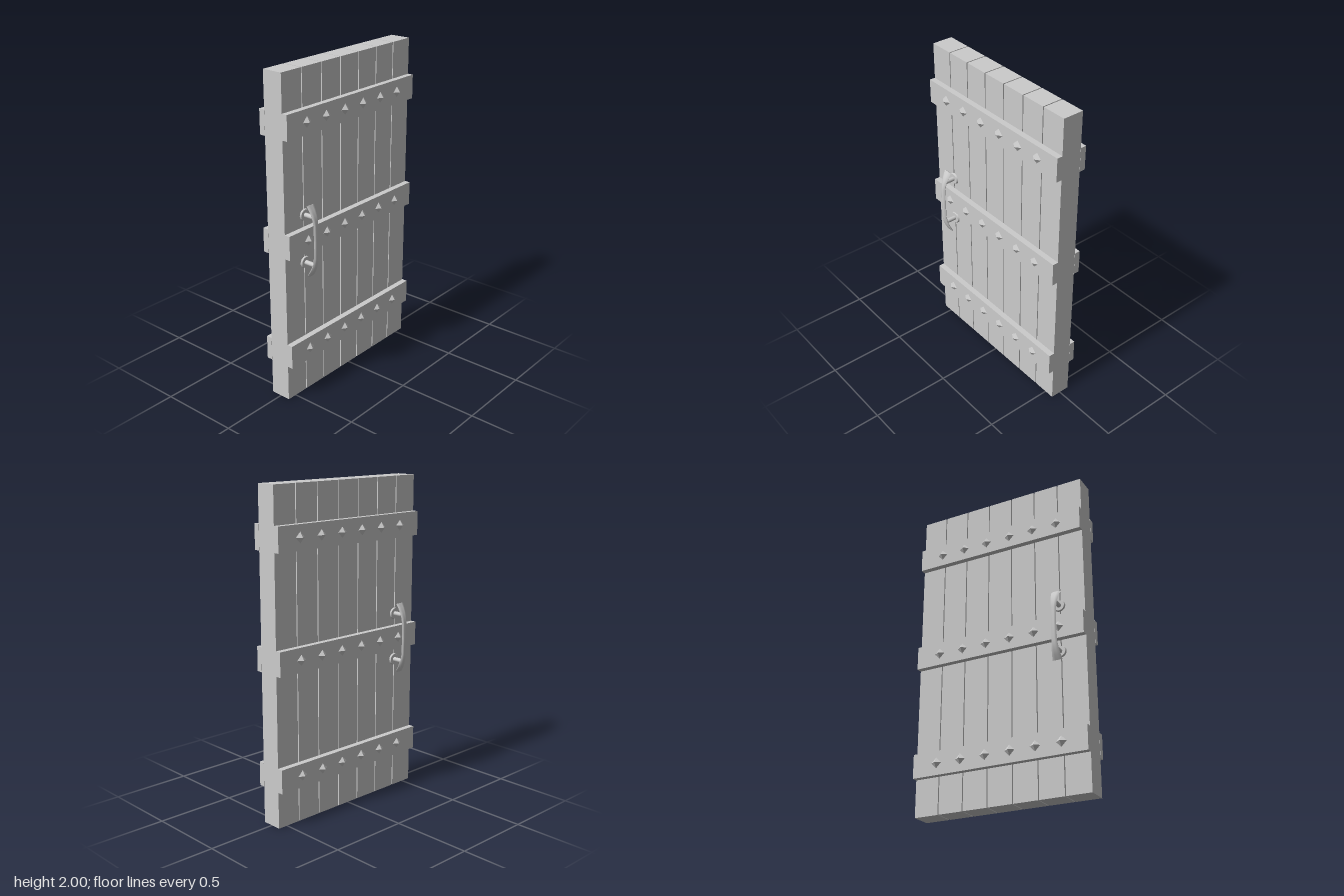
import * as THREE from 'three';
import { toCreasedNormals } from 'three/addons/utils/BufferGeometryUtils.js';

const material = new THREE.MeshStandardMaterial({ color: 0xcccccc });
const flatMaterial = new THREE.MeshStandardMaterial({ color: 0xcccccc, flatShading: true });

function add(parent, name, geometry, x, y, z, mat = material) {
  const mesh = new THREE.Mesh(geometry, mat);
  mesh.name = name;
  mesh.position.set(x, y, z);
  parent.add(mesh);
  return mesh;
}

// Bowed grip: oval sections swept down the handle, wide at the tips, slim in the middle
function gripGeometry() {
  // height above the middle, distance from door centre, half width, half thickness
  const half = [
    [0.218, 0.113, 0.031, 0.006],
    [0.19, 0.128, 0.027, 0.008],
    [0.16, 0.141, 0.023, 0.009],
    [0.13, 0.149, 0.02, 0.009],
    [0.1, 0.153, 0.018, 0.009],
    [0, 0.154, 0.016, 0.009],
  ];
  const lower = half.slice(0, -1).reverse().map(([y, z, w, t]) => [-y, z, w, t]);
  const rows = [...half, ...lower];
  const sides = 10, positions = [], index = [];
  rows.forEach(([y, z, w, t], i) => {
    const a = rows[Math.max(i - 1, 0)], b = rows[Math.min(i + 1, rows.length - 1)];
    const dir = new THREE.Vector2(b[0] - a[0], b[1] - a[1]).normalize();
    for (let j = 0; j < sides; j++) {
      const angle = (j / sides) * Math.PI * 2, s = Math.sin(angle) * t;
      positions.push(Math.cos(angle) * w, y + dir.y * s, z - dir.x * s);
    }
  });
  for (let i = 0; i < rows.length - 1; i++) {
    for (let j = 0; j < sides; j++) {
      const a = i * sides + j, b = i * sides + (j + 1) % sides;
      index.push(a, b, a + sides, b, b + sides, a + sides);
    }
  }
  // End caps
  const last = (rows.length - 1) * sides;
  for (let j = 1; j < sides - 1; j++) {
    index.push(0, j + 1, j, last, last + j, last + j + 1);
  }
  const geometry = new THREE.BufferGeometry();
  geometry.setAttribute('position', new THREE.Float32BufferAttribute(positions, 3));
  geometry.setIndex(index);
  return toCreasedNormals(geometry, 0.8);
}

export function createModel() {
  const door = new THREE.Group();
  door.name = 'plankDoor';

  // Seven upright planks with narrow gaps
  const pitch = 0.1615;
  const plank = new THREE.BoxGeometry(0.155, 2, 0.13);
  for (let i = -3; i <= 3; i++) add(door, 'plank', plank, i * pitch, 1, 0);

  const batten = new THREE.BoxGeometry(1.126, 0.148, 0.037);
  const stud = new THREE.ConeGeometry(0.033, 0.022, 4).rotateX(Math.PI / 2);
  const grip = gripGeometry();
  const post = new THREE.CylinderGeometry(0.014, 0.014, 0.082, 12).rotateX(Math.PI / 2);
  const plate = new THREE.CylinderGeometry(0.033, 0.037, 0.01, 16).rotateX(Math.PI / 2);

  // Both faces carry the same battens, studs and handle
  for (const side of [1, -1]) {
    const face = new THREE.Group();
    face.name = side > 0 ? 'frontFittings' : 'backFittings';
    if (side < 0) face.rotation.y = Math.PI;
    door.add(face);

    for (const y of [0.301, 1.003, 1.704]) {
      add(face, 'batten', batten, 0, y, 0.0825);
      for (let k = 0; k < 6; k++) {
        add(face, 'stud', stud, (k - 2.5) * pitch, y, 0.112, flatMaterial);
      }
    }

    const handle = new THREE.Group();
    handle.name = 'handle';
    handle.position.set(-0.4 * side, 1.003, 0);
    face.add(handle);
    add(handle, 'grip', grip, 0, 0, 0);
    for (const y of [0.148, -0.148]) {
      add(handle, 'post', post, 0, y, 0.104);
      add(handle, 'mountPlate', plate, 0, y, 0.07);
    }
  }
  return door;
}
